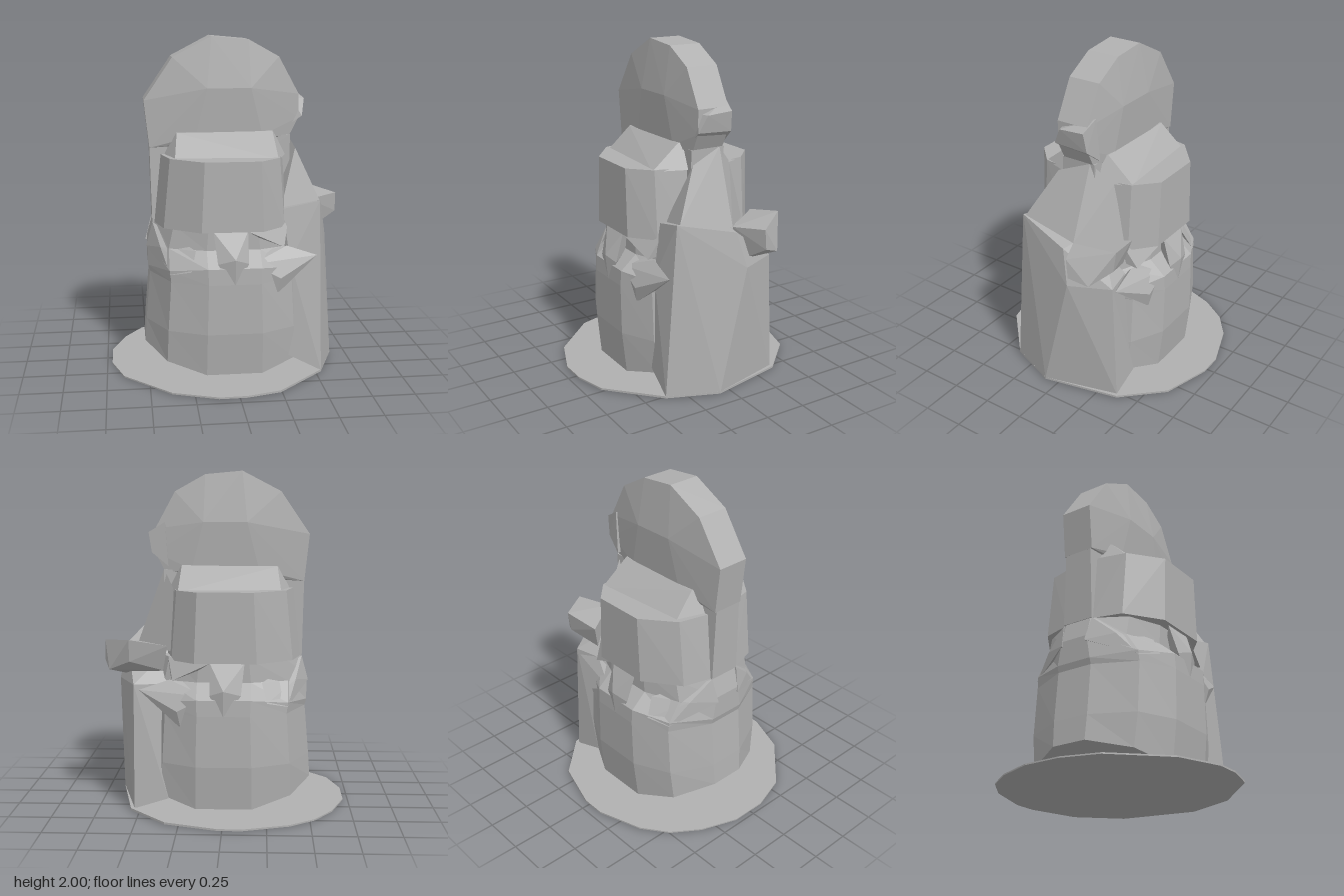
import * as THREE from 'three';
import { ConvexGeometry } from 'three/addons/geometries/ConvexGeometry.js';

export function createModel() {
  const group = new THREE.Group();
  const stone = new THREE.MeshStandardMaterial({ color: 0xb0b0b0 });
  stone.name = 'greyStone';

  const add = (name, geometry) => {
    const mesh = new THREE.Mesh(geometry, stone);
    mesh.name = name;
    group.add(mesh);
  };
  // Faceted solid around a few corners
  const hull = (name, pts) => add(name, new ConvexGeometry(pts.map(p => new THREE.Vector3(...p))));
  // The same solid at the front and at the back
  const frontAndBack = (name, pts) => {
    hull(name + 'Front', pts);
    hull(name + 'Back', pts.map(([x, y, z]) => [x, y, -z]));
  };

  // Faceted skin through rings of equal point count, capped at both ends
  const loft = (name, rings) => {
    const pos = [];
    const tri = (...c) => c.forEach(p => pos.push(...p));
    const n = rings[0].length;
    for (let r = 0; r < rings.length - 1; r++) {
      for (let i = 0; i < n; i++) {
        const j = (i + 1) % n, a = rings[r], b = rings[r + 1];
        tri(a[i], b[j], a[j]);
        tri(a[i], b[i], b[j]);
      }
    }
    const lo = rings[0], hi = rings[rings.length - 1];
    for (let i = 1; i < n - 1; i++) {
      tri(lo[0], lo[i], lo[i + 1]);
      tri(hi[0], hi[i + 1], hi[i]);
    }
    const g = new THREE.BufferGeometry();
    g.setAttribute('position', new THREE.Float32BufferAttribute(pos, 3));
    g.computeVertexNormals();
    add(name, g);
  };

  // Thin ground disc, cut off on the pillar side
  const disc = [[-0.11, -0.7], [0.03, -0.7], [0.33, -0.61], [0.55, -0.38], [0.65, 0.08], [0.53, 0.38],
    [0.24, 0.65], [0.04, 0.7], [-0.12, 0.7], [-0.38, 0.6], [-0.65, 0.32], [-0.72, 0.1],
    [-0.72, -0.12], [-0.64, -0.34], [-0.53, -0.5], [-0.38, -0.61]];
  hull('baseDisc', disc.flatMap(([x, z]) => [[x, 0.004 + 0.006 * (x + 0.7), z], [x, 0.012 + 0.01 * (x + 0.7), z]]));

  // Lower body with a recess under the drum
  const section = [[0.5, 0.11], [0.36, 0.35], [0.16, 0.45], [-0.16, 0.45], [-0.38, 0.35], [-0.5, 0.11],
    [-0.5, -0.11], [-0.38, -0.35], [-0.16, -0.45], [0.16, -0.45], [0.36, -0.35], [0.5, -0.11]];
  // y, x scale, z scale, upward bend of the sides
  const rows = [[0.03, 1.03, 0.97, 0.5], [0.3, 1.01, 1.03, 0], [0.6, 0.96, 1.03, 0],
    [0.7, 0.98, 1.02, -0.25], [0.78, 0.98, 0.8, 0], [0.92, 0.9, 0.8, 0]];
  loft('lowerBody', rows.map(([y, sx, sz, bend]) =>
    section.map(([x, z]) => [x * sx, y + bend * x * x, z * sz])));

  // Drum with a flat rim and shoulders sloping to the arch
  const drum = [[-0.45, 0.09], [-0.4, 0.27], [-0.19, 0.42], [0.17, 0.42], [0.31, 0.3], [0.36, 0.1]];
  hull('drum', drum.flatMap(([x, z]) => [-1, 1].flatMap(s =>
    [[x, 0.9, z * s], [x * 0.9, 1.31, z * s]])));
  frontAndBack('shoulder', [[-0.33, 1.3, 0.27], [0.27, 1.3, 0.31], [-0.31, 1.44, 0.13], [0.26, 1.445, 0.13],
    [-0.4, 1.3, 0.05], [0.36, 1.3, 0.05], [-0.33, 1.44, 0], [0.3, 1.44, 0]]);

  // Rounded arch slab, bevelled along its rim
  const arch = [[-0.47, 1.35], [-0.5, 1.63], [-0.33, 1.88], [-0.1, 2], [0.12, 1.98], [0.3, 1.88],
    [0.42, 1.66], [0.42, 1.52], [0.36, 1.4]];
  hull('archSlab', [...arch.flatMap(([x, y]) => [[x, y, 0.1], [x, y, -0.1]]),
    ...[-1, 1].flatMap(s => [[-0.13, 1.7, 0.145 * s], [0.13, 1.7, 0.145 * s], [-0.2, 1.42, 0.13 * s], [0.2, 1.42, 0.13 * s]])]);
  hull('archFoot', [-1, 1].flatMap(s => [[-0.46, 0.9, 0.1 * s], [-0.47, 1.36, 0.09 * s],
    [0.36, 0.9, 0.12 * s], [0.37, 1.42, 0.11 * s]]));
  hull('archKnob', [[0.38, 1.63, 0.08], [0.46, 1.63, 0.06], [0.46, 1.64, -0.1], [0.36, 1.7, -0.12],
    [0.44, 1.53, 0.11], [0.44, 1.52, -0.11], [0.34, 1.46, 0.1], [0.34, 1.44, -0.13]]);

  // Side pillar with its sloping shoulder and pointed spout
  hull('sidePillar', [[0.33, 0.12, 0.36], [0.53, 0.02, 0.38], [0.65, 0.02, 0.08], [0.53, 0.02, -0.37], [0.33, 0.08, -0.36],
    [0.52, 1.05, 0.3], [0.6, 0.97, -0.05], [0.64, 0.76, -0.1], [0.53, 0.76, -0.34], [0.34, 0.76, -0.3],
    [0.3, 1, 0.28], [0.3, 0.98, -0.1], [0.34, 0.7, 0.34]]);
  hull('pillarShoulder', [[0.4, 1.34, 0.12], [0.37, 1.42, -0.08], [0.52, 1.05, 0.28], [0.53, 0.98, -0.07],
    [0.3, 1, 0.24], [0.3, 1.3, -0.2], [0.32, 0.95, -0.28]]);
  hull('spout', [[0.53, 0.98, -0.07], [0.72, 1, -0.16], [0.72, 0.88, -0.17], [0.68, 0.84, -0.28],
    [0.55, 1.03, -0.38], [0.55, 0.9, -0.36], [0.33, 0.99, -0.34], [0.36, 0.84, -0.3], [0.55, 0.78, -0.12]]);

  // Nose, cheeks and lip facets in the recess
  frontAndBack('nose', [[0, 0.75, 0.48], [-0.1, 0.72, 0.45], [0.08, 0.72, 0.45], [-0.12, 0.9, 0.4],
    [0.08, 0.9, 0.4], [0, 0.56, 0.46], [0, 0.8, 0.3]]);
  frontAndBack('cheek', [[-0.42, 0.78, 0.24], [-0.37, 0.64, 0.36], [-0.25, 0.67, 0.42], [-0.46, 0.9, 0.1],
    [-0.5, 0.75, 0.08], [-0.22, 0.78, 0.36], [-0.3, 0.7, 0.1]]);
  frontAndBack('ledge', [[0.1, 0.71, 0.43], [0.27, 0.62, 0.43], [0.5, 0.73, 0.34], [0.32, 0.79, 0.33],
    [0.1, 0.75, 0.34], [0.25, 0.52, 0.41], [0.3, 0.6, 0.15]]);
  frontAndBack('brow', [[0.08, 0.9, 0.41], [0.3, 0.79, 0.36], [0.33, 0.92, 0.29], [0.15, 0.85, 0.36],
    [0.1, 0.92, 0.25], [0.36, 0.86, 0.12]]);

  return group;
}
